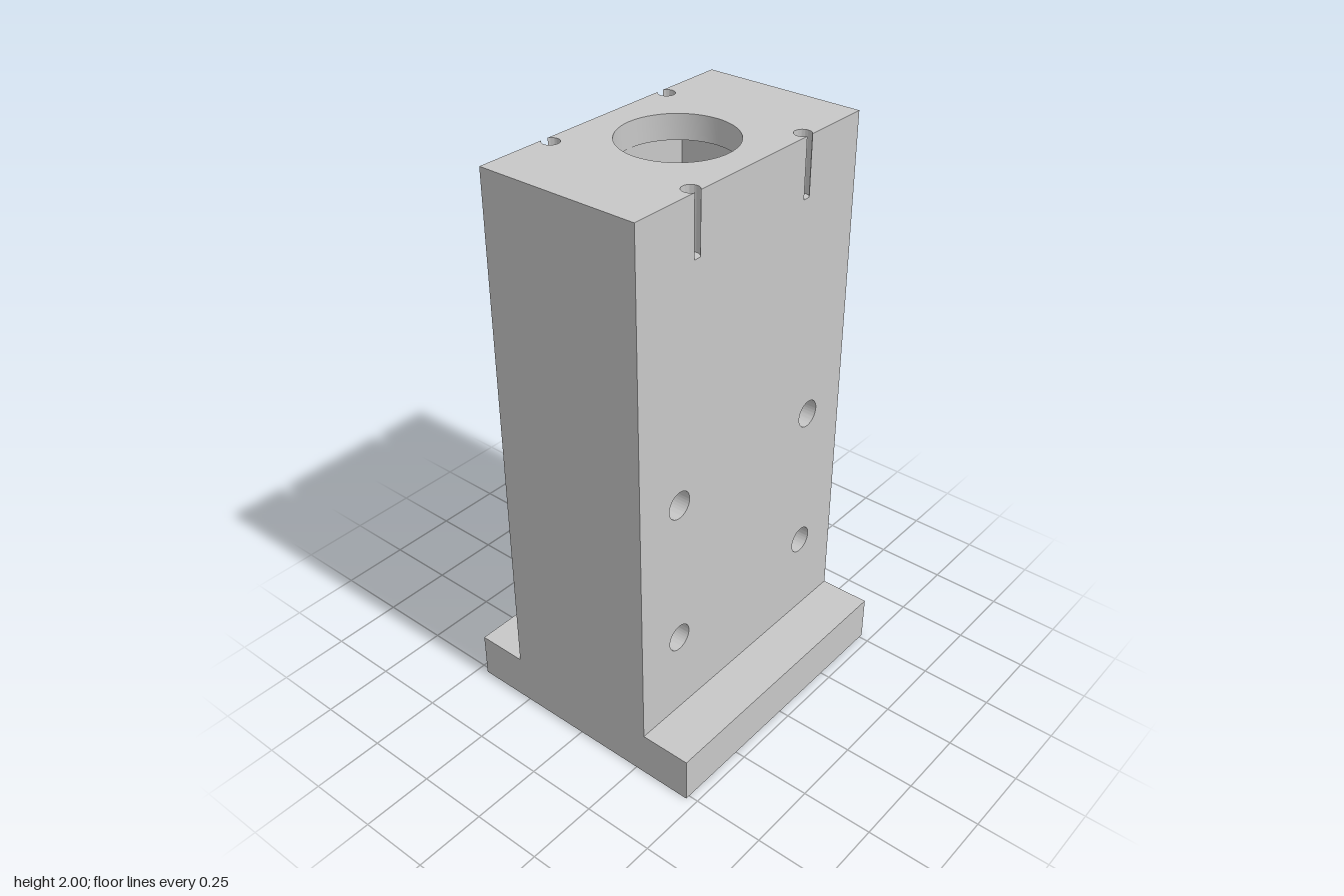
import * as THREE from 'three';
import { toCreasedNormals } from 'three/addons/utils/BufferGeometryUtils.js';

const W = 0.515, D = 0.285, BASE_D = 0.465;       // half sizes
const BASE_H = 0.165, SLOT_Y = 1.8, PLATE_Y = 1.916, TOP = 2;
const CAV_X = 0.25, CAV_Z = 0.19;                 // inner cavity half sizes

function rect(T, x0, y0, x1, y1) {
  const s = new T();
  s.moveTo(x0, y0);
  s.lineTo(x1, y0);
  s.lineTo(x1, y1);
  s.lineTo(x0, y1);
  s.closePath();
  return s;
}

function circle(x, y, r) {
  return new THREE.Path().absarc(x, y, r, 0, Math.PI * 2, true);
}

// Body outline seen from above, with round slots breaking through front and back
function slottedOutline() {
  const r = 0.0283, c = 0.26, dy = D - c, h = Math.sqrt(r * r - dy * dy);
  const s = new THREE.Shape();
  s.moveTo(-W, -D);
  for (const x of [-0.258, 0.258]) {
    s.lineTo(x - h, -D);
    s.absarc(x, -c, r, Math.atan2(-dy, -h), Math.atan2(-dy, h), true);
  }
  s.lineTo(W, -D);
  s.lineTo(W, D);
  for (const x of [0.258, -0.258]) {
    s.lineTo(x + h, D);
    s.absarc(x, c, r, Math.atan2(dy, h), Math.atan2(dy, -h), true);
  }
  s.lineTo(-W, D);
  s.closePath();
  return s;
}

export function createModel() {
  const group = new THREE.Group();
  const steel = new THREE.MeshStandardMaterial({ color: 0xc8c8c8 });
  steel.name = 'light grey steel';

  function extrude(name, shape, holes, from, to, upright) {
    shape.holes.push(...holes);
    const g = new THREE.ExtrudeGeometry(shape, { depth: to - from, bevelEnabled: false, curveSegments: 32 });
    g.translate(0, 0, from);
    if (upright) g.rotateX(-Math.PI / 2);
    const mesh = new THREE.Mesh(toCreasedNormals(g, 0.6), steel);
    mesh.name = name;
    group.add(mesh);
  }

  // Base flange with two blind holes below and a central pit above
  const footHoles = () => [circle(-0.333, 0, 0.067), circle(0.333, 0, 0.067)];
  const foot = () => rect(THREE.Shape, -W, -BASE_D, W, BASE_D);
  extrude('baseLower', foot(), footHoles(), 0, 0.05, true);
  extrude('baseUpper', foot(), [...footHoles(), circle(0, 0, 0.084)], 0.05, BASE_H, true);

  // Column walls around the cavity, with four blind holes in the front
  const wall = () => rect(THREE.Shape, -W, BASE_H, W, SLOT_Y);
  const boltHoles = (x) => [0.47, 1.0].map((y) => circle(x, y, 0.048));
  extrude('frontWall', wall(), [...boltHoles(-0.333), ...boltHoles(0.333)], CAV_Z, D, false);
  for (const [name, x0, x1, holeX] of [['rightWall', -W, -CAV_X, -0.333], ['leftWall', CAV_X, W, 0.333]]) {
    const side = () => rect(THREE.Shape, x0, BASE_H, x1, SLOT_Y);
    extrude(name + 'Front', side(), boltHoles(holeX), 0.085, CAV_Z, false);
    extrude(name + 'Back', side(), [], -CAV_Z, 0.085, false);
  }
  extrude('backWall', wall(), [], -D, -CAV_Z, false);

  // Slotted upper section and top plate with the round bore
  extrude('slottedSection', slottedOutline(), [rect(THREE.Path, -CAV_X, -CAV_Z, CAV_X, CAV_Z)], SLOT_Y, PLATE_Y, true);
  extrude('topPlate', slottedOutline(), [circle(0, 0, 0.188)], PLATE_Y, TOP, true);

  return group;
}
